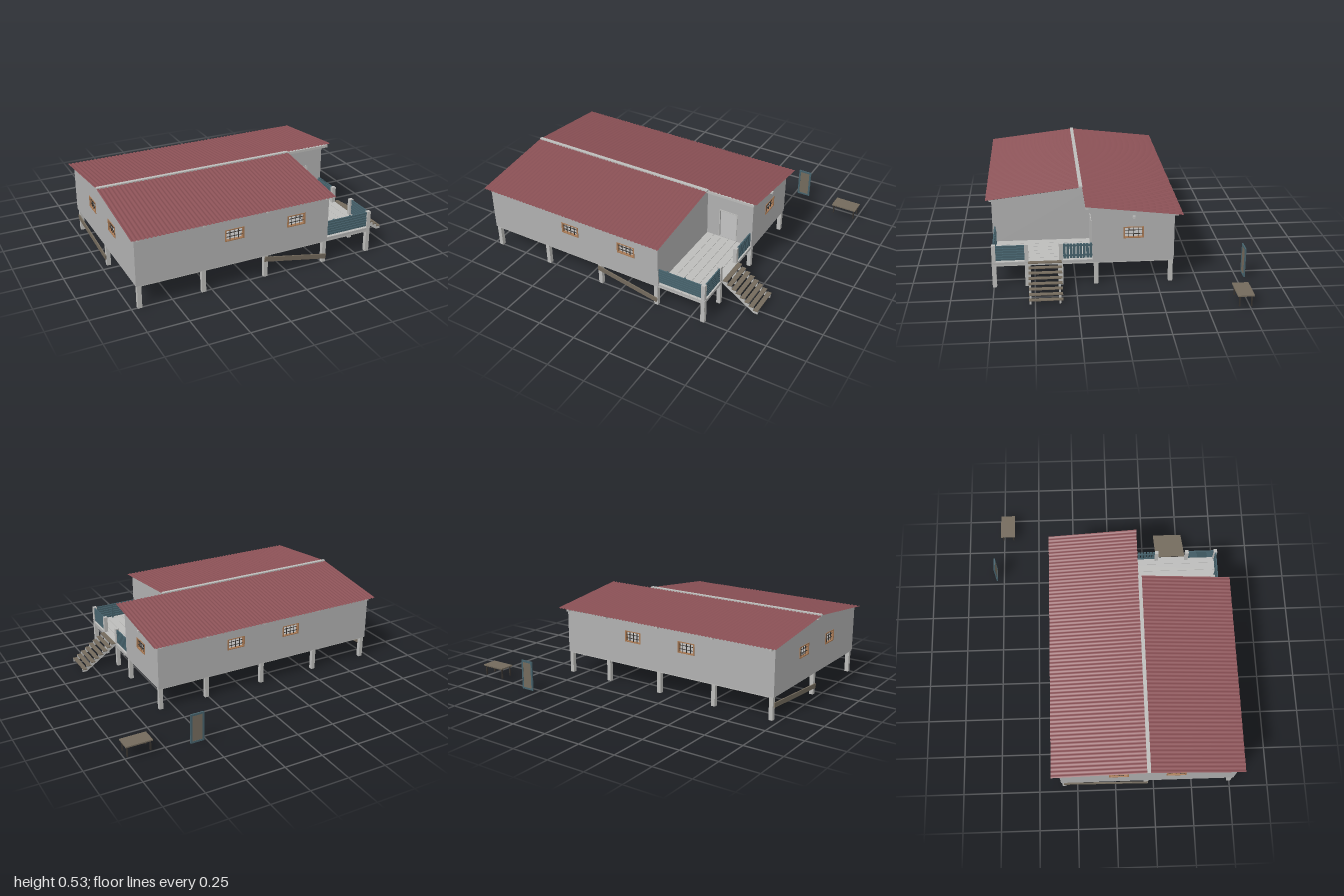
import * as THREE from 'three';

const mat = (name, color, side = THREE.FrontSide) => {
  const m = new THREE.MeshStandardMaterial({ color, side });
  m.name = name;
  return m;
};

export function createModel() {
  const model = new THREE.Group();
  model.name = 'stiltHouse';
  const concrete = mat('wall grey', 0xb0b0b0);
  const pale = mat('pale timber', 0xbcbcba);
  const red = mat('roof red', 0x8a5055);
  const under = mat('roof underside', 0x50575c, THREE.BackSide);
  const brown = mat('weathered brown', 0x736a5c);
  const teal = mat('railing teal', 0x46626c);
  const tan = mat('window frame tan', 0xa87a55);
  const dark = mat('dark metal', 0x37332f);

  const add = (name, geo, material, parent = model) => {
    const m = new THREE.Mesh(geo, material);
    m.name = name;
    parent.add(m);
    return m;
  };
  // Box given by its minimum and maximum on each axis
  const box = (name, [x0, x1], [y0, y1], [z0, z1], material, parent) => {
    const m = add(name, new THREE.BoxGeometry(x1 - x0, y1 - y0, z1 - z0), material, parent);
    m.position.set((x0 + x1) / 2, (y0 + y1) / 2, (z0 + z1) / 2);
    return m;
  };
  const rect = (T, x0, x1, y0, y1) => {
    const s = new T();
    s.moveTo(x0, y0).lineTo(x1, y0).lineTo(x1, y1).lineTo(x0, y1).closePath();
    return s;
  };
  const extrude = (shape, depth) => new THREE.ExtrudeGeometry(shape, { depth, bevelEnabled: false });

  // Barred window centred on its own origin, open between the bars
  const W = 0.062, H = 0.037, WY = 0.337, T = 0.012;
  const windowUnit = (parent, u) => {
    const g = new THREE.Group();
    g.name = 'window';
    g.position.set(u, WY, 0);
    const s = rect(THREE.Shape, -W, W, -H, H);
    s.holes.push(rect(THREE.Path, -W + 0.009, W - 0.009, -H + 0.006, H - 0.006));
    add('windowFrame', extrude(s, 0.018), tan, g).position.z = -0.003;
    for (const x of [-0.028, 0, 0.028]) box('windowBar', [x - 0.0015, x + 0.0015], [-H, H], [0.004, 0.008], dark, g);
    for (const y of [-0.012, 0.012]) box('windowBar', [-W, W], [y - 0.0015, y + 0.0015], [0.004, 0.008], dark, g);
    parent.add(g);
  };
  // Wall panel with windows; side walls use u = -z
  const wall = (name, pts, windows, door, side, at) => {
    const g = new THREE.Group();
    g.name = name;
    const s = new THREE.Shape(pts.map(([u, v]) => new THREE.Vector2(u, v)));
    for (const u of windows) {
      s.holes.push(rect(THREE.Path, u - W + 0.004, u + W - 0.004, WY - H + 0.003, WY + H - 0.003));
      windowUnit(g, u);
    }
    if (door) s.holes.push(rect(THREE.Path, ...door));
    add(name + 'Panel', extrude(s, T), concrete, g);
    if (side) {
      g.rotation.y = Math.PI / 2;
      g.position.x = at;
    } else g.position.z = at;
    model.add(g);
  };
  const roofY = z => 0.517 - Math.abs(z - 0.2) * 0.117;
  const top = z => [-z, roofY(z)];
  const B = 0.147;
  const longWall = (x1, y) => [[-0.97, B], [x1, B], [x1, y], [-0.97, y]];
  wall('frontWall', longWall(0.28, roofY(0.76)), [-0.355, 0.055], null, false, 0.748);
  wall('backWall', longWall(0.6, roofY(-0.35)), [-0.355, 0.055], null, false, -0.352);
  wall('porchDoorWall', [[0.268, B], [0.6, B], [0.6, roofY(0.145)], [0.268, roofY(0.145)]],
    [], [0.37, 0.49, 0.168, 0.37], false, 0.133);
  wall('leftGable', [[-0.76, B], [0.35, B], top(-0.35), top(0.2), top(0.76)], [-0.02, -0.38], null, true, -0.97);
  wall('rightGable', [[-0.145, B], [0.35, B], top(-0.35), top(0.145)], [0.103], null, true, 0.588);
  wall('porchSideWall', [[-0.76, B], [-0.133, B], top(0.133), top(0.2), top(0.76)], [], null, true, 0.268);

  // Door trim around the porch opening
  const trim = rect(THREE.Shape, 0.366, 0.494, 0.165, 0.374);
  trim.holes.push(rect(THREE.Path, 0.372, 0.488, 0.166, 0.368));
  add('doorTrim', extrude(trim, 0.004), pale).position.z = 0.145;

  // Floor, beams and stilts
  box('floor', [-0.965, 0.597], [0.15, 0.162], [-0.347, 0.755], concrete);
  const xs = [-0.95, -0.552, -0.145, 0.262, 0.583], zs = [-0.335, 0.2, 0.745];
  for (const x of xs) {
    box('crossBeam', [x - 0.01, x + 0.01], [0.138, 0.152], [-0.345, 0.757], pale);
    for (const z of zs) {
      const zz = x > 0.5 && z === 0.2 ? 0.125 : z;
      box('stilt', [x - 0.013, x + 0.013], [0, 0.162], [zz - 0.013, zz + 0.013], pale);
    }
  }
  for (const z of zs) box('longBeam', [-0.965, 0.597], [0.138, 0.152], [z - 0.01, z + 0.01], pale);

  // Sloping braces under the house
  const brace = (a, b) => {
    const A = new THREE.Vector3(...a), D = new THREE.Vector3(...b);
    const m = add('brace', new THREE.BoxGeometry(0.008, 0.03, A.distanceTo(D)), brown);
    m.position.copy(A).add(D).multiplyScalar(0.5);
    m.lookAt(D);
  };
  brace([-0.155, 0.122, 0.762], [0.272, 0.04, 0.762]);
  brace([-0.967, 0.055, 0.21], [-0.967, 0.095, -0.335]);

  // Corrugated roof sheets, red above and dark below
  const roof = (name, x0, x1, zEave, zRidge) => {
    const n = Math.round((x1 - x0) / 0.00625);
    const geo = new THREE.PlaneGeometry(x1 - x0, 1, n, 1);
    const p = geo.attributes.position;
    for (let i = 0; i < p.count; i++) {
      const x = p.getX(i) + (x0 + x1) / 2;
      // keep the sheet facing upward on both slopes
      const t = p.getY(i) + 0.5;
      const z = zEave > zRidge ? zEave + (zRidge - zEave) * t : zRidge + (zEave - zRidge) * t;
      const ripple = 0.003 * Math.sin((x - x0) / 0.025 * Math.PI * 2);
      p.setXYZ(i, x, roofY(z) + 0.007 + ripple, z);
    }
    geo.computeVertexNormals();
    add(name, geo, red);
    add(name + 'Underside', geo, under);
  };
  roof('frontRoof', -0.995, 0.305, 0.797, 0.2);
  roof('backRoof', -0.995, 0.64, -0.4, 0.19);
  box('ridgeCap', [-0.995, 0.305], [0.519, 0.53], [0.188, 0.211], pale);
  box('ridgeBeam', [-0.985, 0.62], [0.498, 0.515], [0.17, 0.188], pale);

  // Purlin and rafter ends below the eaves
  box('purlin', [0.598, 0.618], [0.432, 0.447], [-0.112, -0.096], pale);
  for (const x of xs) {
    if (x < 0.5) box('rafterEnd', [x - 0.008, x + 0.008], [0.433, 0.449], [0.755, 0.778], pale);
    box('rafterEnd', [x - 0.008, x + 0.008], [0.433, 0.449], [-0.378, -0.35], pale);
  }

  // Porch boards
  for (let i = 0; i < 6; i++) {
    const x = 0.282 + i * 0.053;
    box('porchBoard', [x, x + 0.051], [0.162, 0.167], [0.147, 0.758], pale);
  }
  // Porch posts and railings
  for (const z of [0.745, 0.547, 0.338]) {
    box('porchPost', [0.572, 0.597], [0, 0.275], [z - 0.012, z + 0.012], pale);
  }
  for (let i = 0; i < 6; i++) {
    const y = 0.175 + i * 0.0165;
    box('frontRailSlat', [0.28, 0.572], [y, y + 0.013], [0.742, 0.75], teal);
    box('sideRailSlat', [0.584, 0.592], [y, y + 0.013], [0.559, 0.733], teal);
  }
  for (let i = 0; i < 9; i++) {
    const z = 0.149 + i * 0.02;
    box('sideRailPicket', [0.584, 0.592], [0.175, 0.27], [z, z + 0.015], teal);
  }
  for (const x of [0.33, 0.45]) box('frontRailBatten', [x, x + 0.01], [0.17, 0.272], [0.735, 0.742], teal);
  for (const y of [0.185, 0.25]) box('sideRailBatten', [0.578, 0.584], [y, y + 0.01], [0.147, 0.326], teal);

  // Stairs: stepped stringers with brown treads
  const N = 8, dx = 0.03, dy = 0.0205;
  const st = new THREE.Shape();
  st.moveTo(0.598, 0.145).lineTo(0.598, 0.164);
  for (let i = 0; i < N; i++) {
    const y = 0.164 - i * dy;
    st.lineTo(0.6 + (i + 1) * dx, y);
    if (i < N - 1) st.lineTo(0.6 + (i + 1) * dx, y - dy);
  }
  st.lineTo(0.84, 0.002).lineTo(0.812, 0.002).closePath();
  for (const z of [0.347, 0.523]) add('stairStringer', extrude(st, 0.012), pale).position.z = z;
  for (let i = 0; i < N; i++) {
    const x = 0.601 + i * dx, y = 0.164 - i * dy;
    box('stairTread', [x, x + 0.029], [y, y + 0.005], [0.335, 0.537], brown);
  }

  // Freestanding door panel behind the house
  box('looseDoor', [0.525, 0.605], [0.012, 0.2], [-0.8, -0.796], brown);
  for (const x of [0.52, 0.597]) box('looseDoorStile', [x, x + 0.012], [0.01, 0.203], [-0.802, -0.794], teal);
  for (const y of [0.01, 0.191]) box('looseDoorRail', [0.532, 0.597], [y, y + 0.012], [-0.802, -0.794], teal);

  // Table
  const table = new THREE.Group();
  table.name = 'table';
  model.add(table);
  box('tableTop', [0.83, 0.998], [0.08, 0.088], [-0.767, -0.668], brown, table);
  for (const x of [0.838, 0.982]) for (const z of [-0.757, -0.686]) {
    box('tableLeg', [x, x + 0.008], [0.015, 0.08], [z, z + 0.008], dark, table);
  }
  for (const z of [-0.755, -0.684]) box('tableApron', [0.842, 0.986], [0.071, 0.08], [z, z + 0.004], dark, table);
  return model;
}
